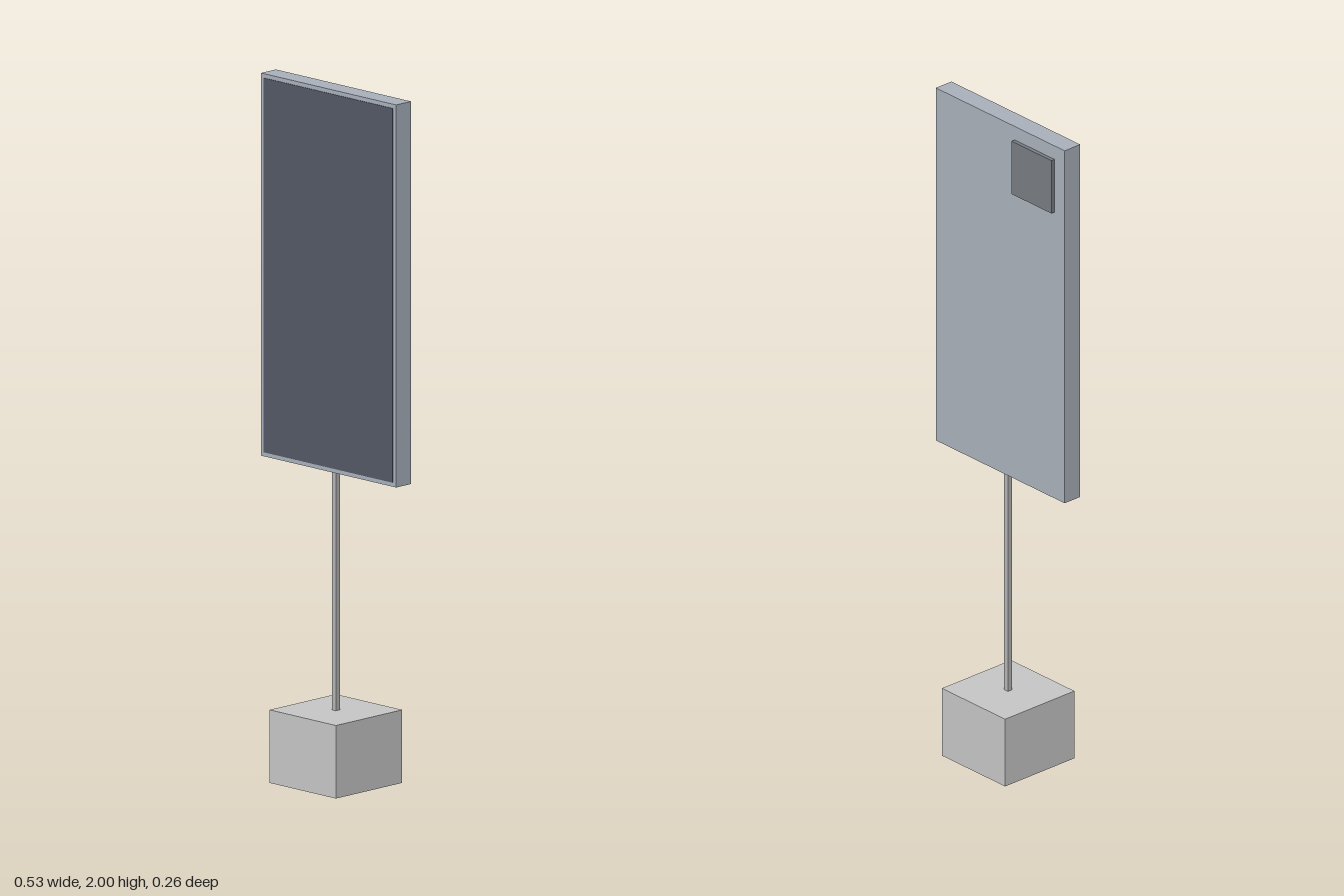
import * as THREE from 'three';

export function createModel() {
  const model = new THREE.Group();
  model.name = 'signOnPost';

  const material = (name, color) => {
    const m = new THREE.MeshStandardMaterial({ color });
    m.name = name;
    return m;
  };
  const concrete = material('concreteGrey', 0xc6c6c6);
  const steel = material('steelGrey', 0xb6b6b6);
  const casing = material('casingBlueGrey', 0xa9b1bb);
  const glass = material('screenSlate', 0x535965);
  const dark = material('boxDarkGrey', 0x787d82);

  // Box given by its lower and upper corners
  const box = (name, mat, [x0, y0, z0], [x1, y1, z1]) => {
    const mesh = new THREE.Mesh(new THREE.BoxGeometry(x1 - x0, y1 - y0, z1 - z0), mat);
    mesh.position.set((x0 + x1) / 2, (y0 + y1) / 2, (z0 + z1) / 2);
    mesh.name = name;
    model.add(mesh);
  };

  // Foundation block and square post
  box('base', concrete, [-0.131, 0, -0.131], [0.131, 0.21, 0.131]);
  box('post', steel, [-0.008, 0.21, -0.008], [0.008, 0.9, 0.008]);

  // Panel with a thin front screen and a small box on the back
  box('panel', casing, [-0.267, 0.9, -0.03], [0.267, 2, 0.029]);
  box('screen', glass, [-0.255, 0.912, 0.028], [0.255, 1.988, 0.031]);
  box('rearBox', dark, [-0.225, 1.793, -0.042], [-0.06, 1.958, -0.03]);

  return model;
}
